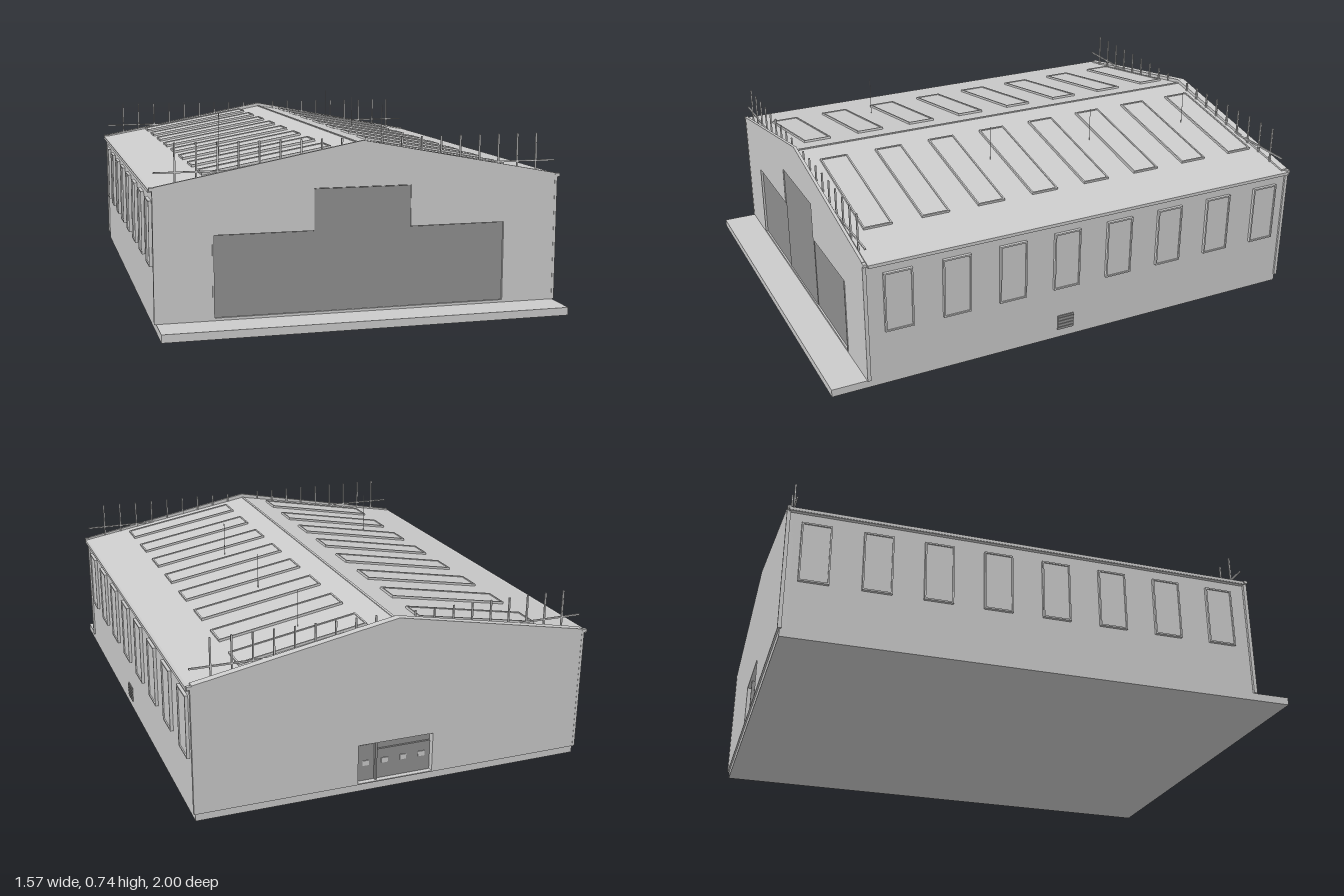
import * as THREE from 'three';

const grey = new THREE.MeshStandardMaterial({ color: 0xcccccc, flatShading: true });
const dark = new THREE.MeshStandardMaterial({ color: 0x909090, flatShading: true });

const FRONT = 0.862, BACK = -0.997, MID = (FRONT + BACK) / 2;
const RIDGE = 0.652, EAVE = 0.512, ROOF_X = 0.785;
const BAYS = Array.from({ length: 8 }, (_, i) => 0.73 - i * 0.2307);

// Box from its size and centre
function box(parent, name, size, pos, mat = grey) {
  const m = new THREE.Mesh(new THREE.BoxGeometry(...size), mat);
  m.name = name;
  m.position.set(...pos);
  parent.add(m);
  return m;
}

// Pane in the XY plane with a raised rim, facing +z
function framedPanel(name, w, h, depth = 0.012, rim = 0.006) {
  const g = new THREE.Group();
  g.name = name;
  box(g, 'pane', [w, h, depth * 0.6], [0, 0, depth * 0.3]);
  for (const s of [-1, 1]) {
    box(g, 'rimSide', [rim, h, depth], [s * (w - rim) / 2, 0, depth / 2]);
    box(g, 'rimEnd', [w - 2 * rim, rim, depth], [0, s * (h - rim) / 2, depth / 2]);
  }
  return g;
}

// Gable wall with a cut opening
function gable(name, opening, z, depth) {
  const toV = pts => pts.map(p => new THREE.Vector2(...p));
  const shape = new THREE.Shape(toV([
    [-0.765, 0.03], [0.765, 0.03], [0.765, 0.522], [0, 0.667], [-0.765, 0.522]]));
  shape.holes.push(new THREE.Path(toV(opening)));
  const m = new THREE.Mesh(new THREE.ExtrudeGeometry(shape, { depth, bevelEnabled: false }), grey);
  m.name = name;
  m.position.z = z;
  return m;
}

// One roof slope with eight skylights; local x runs down the slope
function roofSlope(s) {
  const angle = Math.atan2(RIDGE - EAVE, ROOF_X);
  const length = Math.hypot(RIDGE - EAVE, ROOF_X);
  const g = new THREE.Group();
  g.name = 'roofSlope';
  g.position.y = RIDGE;
  g.rotation.z = -s * angle;
  box(g, 'roofSheet', [length, 0.012, 1.836], [s * length / 2, -0.006, -0.073]);
  for (const z of BAYS) {
    const light = framedPanel('skylight', 0.49, 0.112, 0.009);
    light.rotation.x = -Math.PI / 2;
    light.position.set(s * 0.347, 0, z);
    g.add(light);
  }
  return g;
}

// Row of uprights with a cross rail, behind a gable
function gableRack(z) {
  const g = new THREE.Group();
  g.name = 'gableRack';
  g.position.z = z;
  for (let i = 1; i <= 9; i++) {
    for (const s of [-1, 1]) {
      box(g, 'upright', [0.006, 0.18, 0.006], [s * i * 0.0765, 0.585, 0]);
    }
  }
  box(g, 'rail', [1.53, 0.006, 0.006], [0, 0.57, 0]);
  return g;
}

// Wide front doors: tall middle leaf and two lower side leaves
function frontDoors() {
  const g = new THREE.Group();
  g.name = 'frontDoors';
  box(g, 'middleLeaf', [0.37, 0.46, 0.008], [0, 0.265, 0.854], dark);
  for (const s of [-1, 1]) {
    box(g, 'sideLeaf', [0.375, 0.305, 0.008], [s * 0.3725, 0.1875, 0.852], dark);
    box(g, 'doorJamb', [0.006, 0.305, 0.014], [s * 0.558, 0.19, 0.858]);
  }
  box(g, 'threshold', [1.12, 0.008, 0.012], [0, 0.036, 0.857]);
  return g;
}

// Recessed rear door: narrow leaf and a wide shutter with small windows
function rearDoor() {
  const g = new THREE.Group();
  g.name = 'rearDoor';
  box(g, 'recessBack', [0.3, 0.155, 0.006], [0, 0.112, -0.966], dark);
  box(g, 'shutter', [0.22, 0.12, 0.008], [-0.038, 0.093, -0.973], dark);
  box(g, 'narrowLeaf', [0.068, 0.145, 0.008], [0.112, 0.106, -0.973], dark);
  box(g, 'doorPost', [0.008, 0.155, 0.018], [0.075, 0.112, -0.98], dark);
  for (let i = 0; i < 4; i++) {
    box(g, 'doorWindow', [0.026, 0.02, 0.006], [0.112 - i * 0.075, 0.105, -0.977]);
  }
  return g;
}

export function createModel() {
  const model = new THREE.Group();
  model.name = 'hangar';

  // Slab with the front apron
  box(model, 'slab', [1.53, 0.03, 1.99], [0, 0.015, 0.005]);

  // Gable ends and their doors
  model.add(gable('frontGable', [
    [-0.56, 0.032], [-0.56, 0.342], [-0.185, 0.342], [-0.185, 0.497],
    [0.185, 0.497], [0.185, 0.342], [0.56, 0.342], [0.56, 0.032]], 0.85, 0.012));
  model.add(gable('backGable', [
    [-0.15, 0.034], [-0.15, 0.19], [0.15, 0.19], [0.15, 0.034]], BACK, 0.03));
  model.add(frontDoors(), rearDoor());
  model.add(gableRack(0.845), gableRack(-0.964));

  for (const s of [-1, 1]) {
    // Side wall, gutter and corner trims
    box(model, 'sideWall', [0.012, 0.475, FRONT - BACK - 0.03], [s * 0.759, 0.2675, MID]);
    box(model, 'gutter', [0.02, 0.012, 1.836], [s * 0.775, 0.508, -0.073]);
    for (const z of [FRONT - 0.006, BACK + 0.006]) {
      box(model, 'cornerTrim', [0.01, 0.485, 0.014], [s * 0.767, 0.2725, z]);
      box(model, 'eaveCap', [0.02, 0.012, 0.014], [s * 0.773, 0.514, z]);
    }
    // Tall side windows
    for (const z of BAYS) {
      const win = framedPanel('sideWindow', 0.112, 0.24);
      win.rotation.y = s * Math.PI / 2;
      win.position.set(s * 0.765, 0.343, z);
      model.add(win);
    }
    model.add(roofSlope(s));
  }

  // Ridge cap
  box(model, 'ridgeCap', [0.01, 0.004, 1.836], [0, RIDGE, -0.073]);

  // Louvred vent low on the left wall
  box(model, 'wallVent', [0.006, 0.062, 0.07], [0.766, 0.066, 0.035], dark);
  for (let i = 0; i < 4; i++) {
    box(model, 'ventSlat', [0.005, 0.004, 0.07], [0.769, 0.045 + i * 0.014, 0.035], dark);
  }

  // Thin roof rods
  for (const [x, z] of [[0.305, 0.14], [0.305, -0.32], [0.305, -0.78], [-0.445, 0.37]]) {
    const base = RIDGE - Math.abs(x) * 0.178 - 0.005;
    const rod = new THREE.Mesh(new THREE.CylinderGeometry(0.0012, 0.0012, 0.737 - base, 6), grey);
    rod.name = 'roofRod';
    rod.position.set(x, (0.737 + base) / 2, z);
    model.add(rod);
  }
  return model;
}
